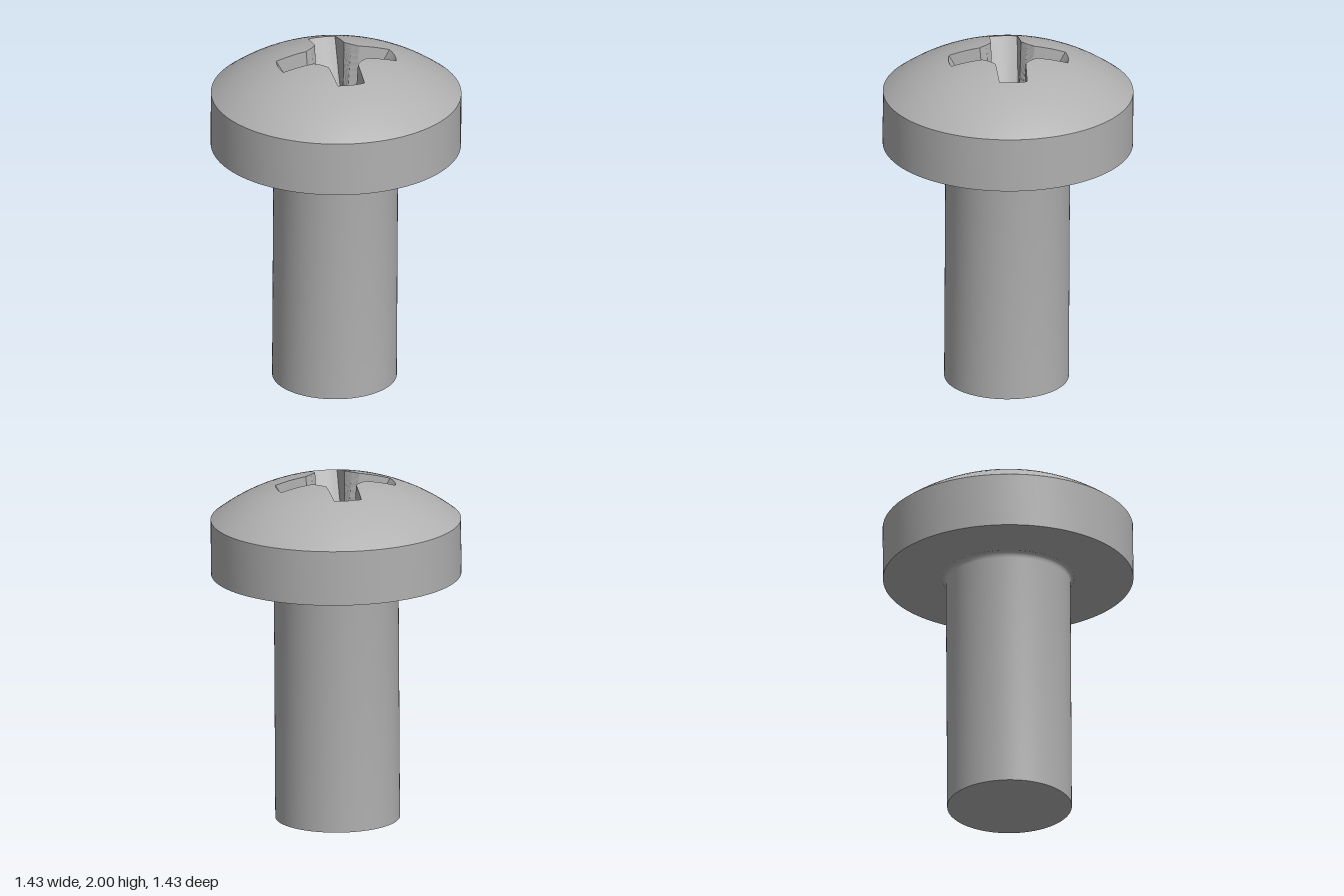
import * as THREE from 'three';
import { toCreasedNormals } from 'three/addons/utils/BufferGeometryUtils.js';

const HEAD_R = 0.715, EDGE_Y = 1.76, APEX_Y = 2.01;
const SPHERE_R = (HEAD_R ** 2 + (APEX_Y - EDGE_Y) ** 2) / (2 * (APEX_Y - EDGE_Y));
const domeY = r => APEX_Y - SPHERE_R + Math.sqrt(SPHERE_R ** 2 - r * r);
const rad = THREE.MathUtils.degToRad;
const polar = (r, deg) => new THREE.Vector2(r * Math.cos(rad(deg)), r * Math.sin(rad(deg)));

// Matching closed outlines of the cross recess: its rim on the dome and its floor
function recessOutlines() {
  const rim = [], floor = [];
  const FLOOR_Y = 1.58, N = 8;
  for (let k = 0; k < 4; k++) {
    const a = 34.6 + k * 90;
    // each edge: rim start and end, floor start and end, as [radius, angle from the wing axis]
    const edges = [
      [[0.178, -29], [0.343, -13.3], [0.143, -30], [0.143, -30]],
      [[0.343, -13.3], [0.343, 13.3], [0.143, -30], [0.143, 30]],
      [[0.343, 13.3], [0.178, 29], [0.143, 30], [0.143, 30]],
      [[0.178, 29], [0.167, 45], [0.143, 30], [0.113, 45]],
      [[0.167, 45], [0.178, 61], [0.113, 45], [0.143, 60]]
    ];
    edges.forEach(([t0, t1, b0, b1], e) => {
      for (let i = 0; i < N; i++) {
        const s = i / N;
        const mix = (p, q) => e === 1
          ? polar(p[0], a + THREE.MathUtils.lerp(p[1], q[1], s))
          : polar(p[0], a + p[1]).lerp(polar(q[0], a + q[1]), s);
        const t = mix(t0, t1), b = mix(b0, b1);
        rim.push(new THREE.Vector3(t.x, domeY(t.length()), t.y));
        floor.push(new THREE.Vector3(b.x, FLOOR_Y, b.y));
      }
    });
  }
  return { rim, floor };
}

function geometryFrom(points) {
  return new THREE.BufferGeometry().setFromPoints(points);
}

// Spherical cap that runs from the recess rim to the edge of the head
function domeGeometry(rim) {
  const pts = [], STEPS = 12;
  const at = (p, s) => {
    const r0 = Math.hypot(p.x, p.z), r = THREE.MathUtils.lerp(r0, HEAD_R, s);
    return new THREE.Vector3(p.x * r / r0, domeY(r), p.z * r / r0);
  };
  rim.forEach((p, i) => {
    const q = rim[(i + 1) % rim.length];
    for (let j = 0; j < STEPS; j++) {
      const a = at(p, j / STEPS), b = at(q, j / STEPS);
      const c = at(p, (j + 1) / STEPS), d = at(q, (j + 1) / STEPS);
      pts.push(a, b, c, b, d, c);
    }
  });
  const normals = [];
  for (const p of pts) {
    normals.push(p.x / SPHERE_R, (p.y - APEX_Y + SPHERE_R) / SPHERE_R, p.z / SPHERE_R);
  }
  const g = geometryFrom(pts);
  g.setAttribute('normal', new THREE.Float32BufferAttribute(normals, 3));
  return g;
}

// Sloping wing floors and side walls of the recess
function recessWallGeometry(rim, floor) {
  const pts = [];
  rim.forEach((t, i) => {
    const j = (i + 1) % rim.length;
    pts.push(t, floor[i], rim[j]);
    if (floor[i].distanceTo(floor[j]) > 1e-5) pts.push(rim[j], floor[i], floor[j]);
  });
  const g = geometryFrom(pts);
  g.computeVertexNormals();
  return toCreasedNormals(g, rad(12));
}

// Shallow cone at the bottom of the recess
function recessFloorGeometry(floor) {
  const pts = [], tip = new THREE.Vector3(0, 1.52, 0);
  floor.forEach((p, i) => {
    const q = floor[(i + 1) % floor.length];
    if (p.distanceTo(q) > 1e-5) pts.push(tip, q, p);
  });
  const g = geometryFrom(pts);
  g.computeVertexNormals();
  return g;
}

function lathe(profile) {
  const g = new THREE.LatheGeometry(profile.map(p => new THREE.Vector2(...p)), 96);
  return toCreasedNormals(g, rad(35));
}

export function createModel() {
  const steel = new THREE.MeshStandardMaterial({ color: 0xb0b0b0 });
  steel.name = 'steel grey';
  const screw = new THREE.Group();
  screw.name = 'screw';
  const add = (name, geometry) => {
    const mesh = new THREE.Mesh(geometry, steel);
    mesh.name = name;
    screw.add(mesh);
  };

  // Shank with a small fillet under the head
  add('shank', lathe([[0, 0], [0.356, 0], [0.356, 1.405], [0.358, 1.42], [0.364, 1.432], [0.378, 1.441]]));
  // Underside and straight side of the head
  add('headSide', lathe([[0.37, 1.441], [HEAD_R, 1.441], [HEAD_R, EDGE_Y]]));

  const { rim, floor } = recessOutlines();
  add('headDome', domeGeometry(rim));
  add('recessWalls', recessWallGeometry(rim, floor));
  add('recessFloor', recessFloorGeometry(floor));

  // The screw leans very slightly to one side
  screw.rotation.z = -0.0085;
  screw.position.set(-0.0145, 0.003, 0);
  const model = new THREE.Group();
  model.name = 'model';
  model.add(screw);
  return model;
}
